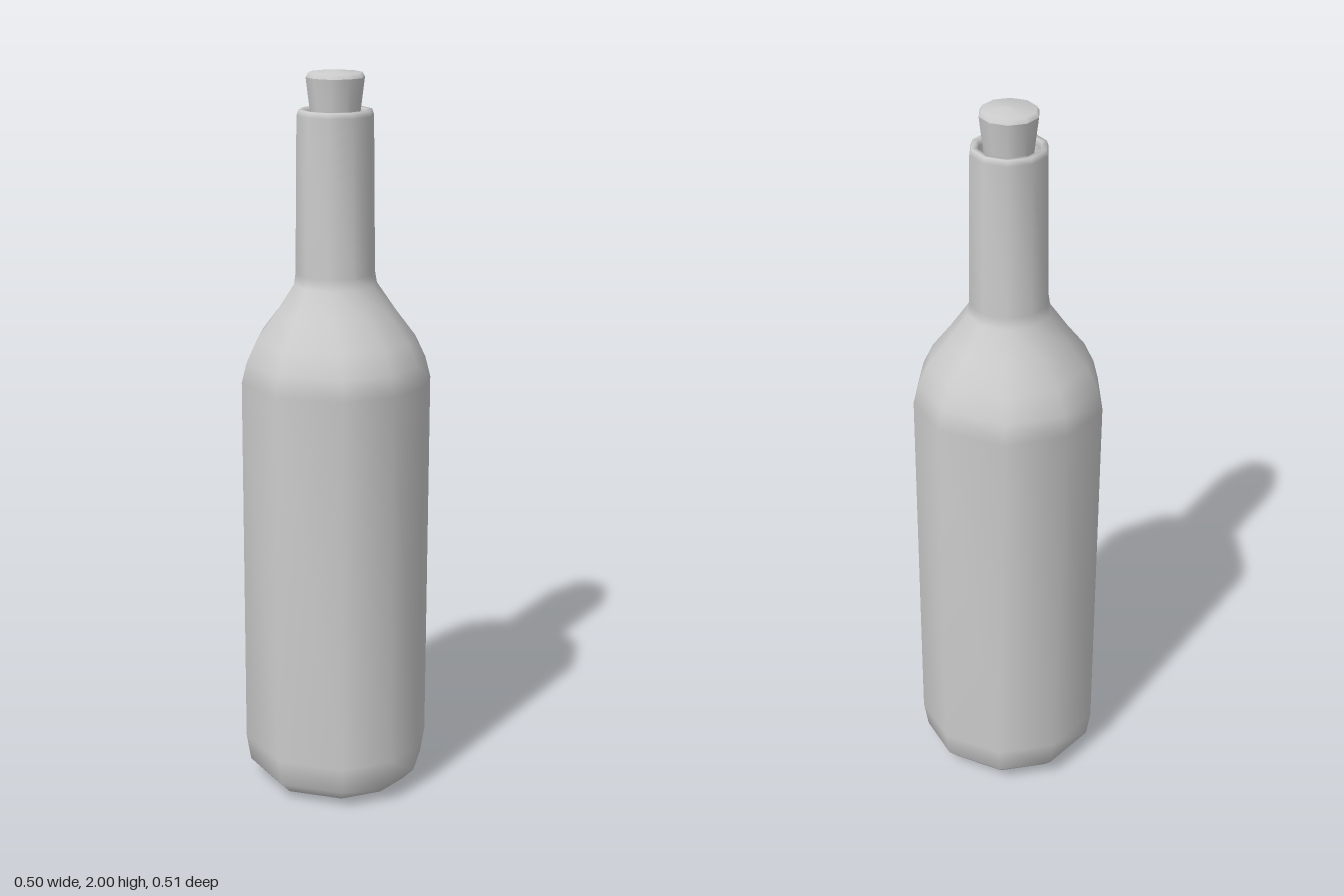
import * as THREE from 'three';

const SIDES = 10;
const regular = Array.from({ length: SIDES }, (_, i) => i * 36);
// Slightly uneven hand-made outlines: angles in degrees, clockwise from the back
const shoulder = [7, 42, 70, 98, 130, 172, 211, 248, 286, 324];
const foot = [7, 42, 70, 98, 130, 172, 216, 252, 292, 328];

const material = new THREE.MeshStandardMaterial({ color: 0xcccccc });

// Joins rings of [radius, y, angles] into a skin; a radius of 0 closes to a point
function loft(name, rings) {
  const pos = [], index = [];
  rings.forEach(([r, y, angles = regular], j) => {
    for (let i = 0; i < SIDES; i++) {
      const a = THREE.MathUtils.degToRad(angles[i]);
      pos.push(r * Math.sin(a), y, -r * Math.cos(a));
      if (j === 0) continue;
      const k = (i + 1) % SIDES, lo = (j - 1) * SIDES, up = j * SIDES;
      if (r > 0) index.push(lo + i, up + i, up + k);
      if (rings[j - 1][0] > 0) index.push(lo + i, up + k, lo + k);
    }
  });
  const geometry = new THREE.BufferGeometry();
  geometry.setAttribute('position', new THREE.Float32BufferAttribute(pos, 3));
  geometry.setIndex(index);
  geometry.computeVertexNormals();
  const mesh = new THREE.Mesh(geometry, material);
  mesh.name = name;
  return mesh;
}

const mix = (a, b, t) => a.map((v, i) => v + (b[i] - v) * t);

export function createModel() {
  const group = new THREE.Group();
  group.name = 'bottle';

  // Body, shoulder, neck and the inside of the mouth
  group.add(loft('glass', [
    [0.212, 0.02, foot],
    [0.245, 0.055, foot],
    [0.257, 0.13, foot],
    [0.258, 1.18, shoulder],
    [0.244, 1.235, shoulder],
    [0.216, 1.295, shoulder],
    [0.163, 1.365, mix(shoulder, regular, 0.4)],
    [0.112, 1.44, mix(shoulder, regular, 0.8)],
    [0.107, 1.47],
    [0.102, 1.885],
    [0.097, 1.9],
    [0.084, 1.9],
    [0.08, 1.885],
    [0.078, 1.8],
    [0, 1.8],
  ]));

  // Underside, gently bulging to the point it stands on
  group.add(loft('base', [[0, 0], [0.212, 0.02, foot]]));

  // Tapered stopper with a shallow domed top
  group.add(loft('stopperSide', [[0.055, 1.8], [0.0775, 1.982]]));
  group.add(loft('stopperTop', [[0.0775, 1.982], [0.071, 1.994], [0, 2]]));

  return group;
}
